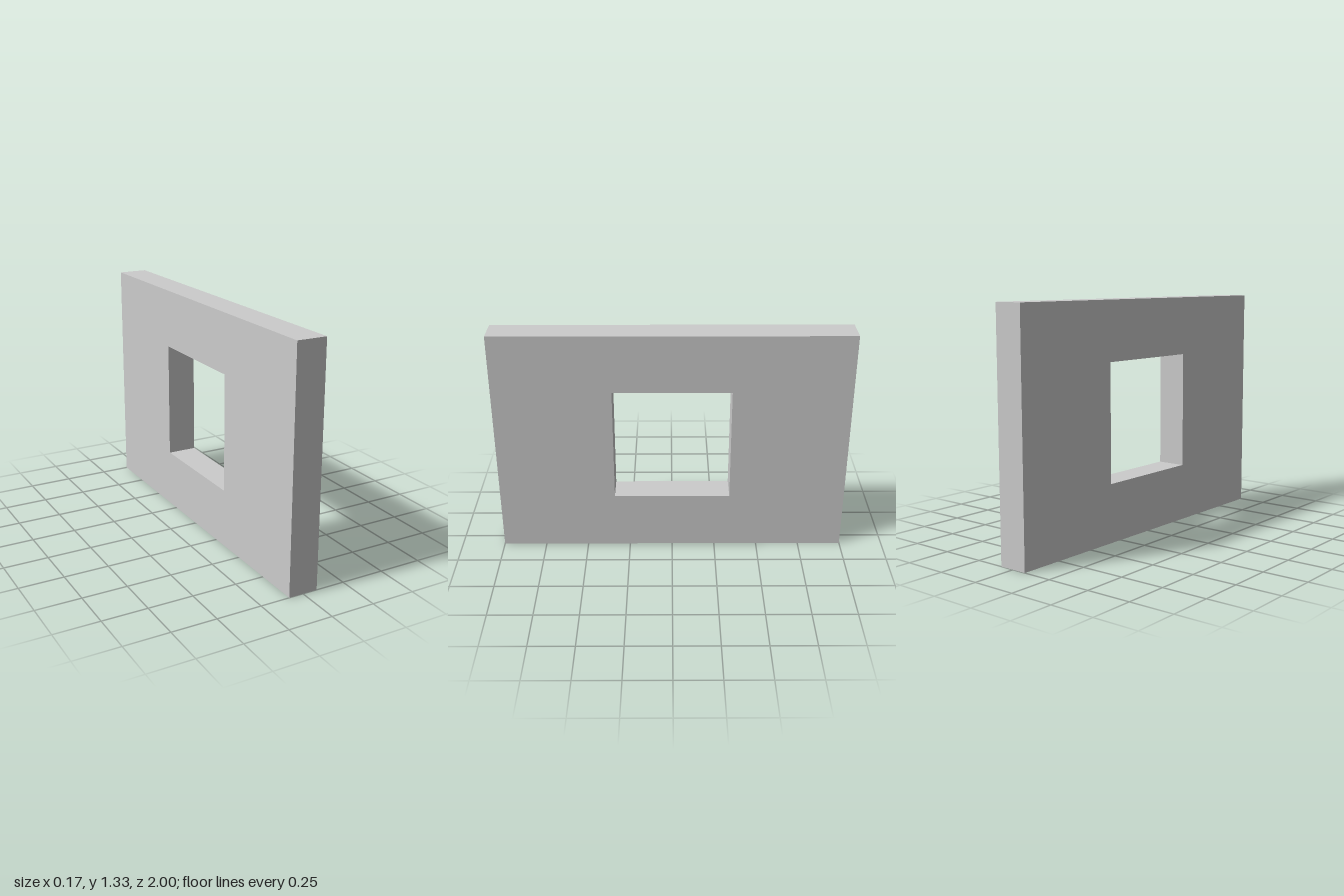
import * as THREE from 'three';

const W = 0.167, H = 1.333, L = 2;             // wall thickness, height, length
const Y = [0, 0.333, 1, H];                    // window opening is the middle cell
const Z = [-1, -0.333, 0.333, 1];              // of this 3 x 3 layout
const CELLS = 230;

// Small seeded generator
function seeded(seed) {
  return () => {
    seed = (seed * 1664525 + 1013904223) >>> 0;
    return seed / 4294967296;
  };
}

// Convex solid as a list of faces, each an outward-wound loop of points
function wallBlock() {
  const faces = [];
  const half = new THREE.Vector3(W / 2, H / 2, L / 2);
  for (let axis = 0; axis < 3; axis++) {
    for (const side of [-1, 1]) {
      const corners = [[-1, -1], [1, -1], [1, 1], [-1, 1]].map(([a, b]) => {
        const p = new THREE.Vector3();
        p.setComponent(axis, side);
        p.setComponent((axis + 1) % 3, a);
        p.setComponent((axis + 2) % 3, b);
        return p.multiply(half).add(new THREE.Vector3(0, H / 2, 0));
      });
      faces.push({ points: side > 0 ? corners : corners.reverse(), seam: false });
    }
  }
  return faces;
}

// Keep the part of a convex solid where normal . p <= d, and cap the cut
function clip(faces, normal, d, seam = false) {
  const kept = [], cut = [];
  for (const face of faces) {
    const loop = [];
    face.points.forEach((a, i) => {
      const b = face.points[(i + 1) % face.points.length];
      const da = normal.dot(a) - d, db = normal.dot(b) - d;
      if (da <= 0) loop.push(a);
      if ((da <= 0) !== (db <= 0)) {
        const p = a.clone().lerp(b, da / (da - db));
        const same = cut.find((q) => q.distanceToSquared(p) < 1e-12);
        if (!same) cut.push(p);
        loop.push(same || p);
      }
    });
    if (loop.length > 2) kept.push({ points: loop, seam: face.seam });
  }
  if (cut.length > 2) {
    const centre = new THREE.Vector3();
    cut.forEach((p) => centre.addScaledVector(p, 1 / cut.length));
    const u = cut[0].clone().sub(centre).normalize();
    const v = normal.clone().normalize().cross(u);
    const angle = (p) => {
      const r = p.clone().sub(centre);
      return Math.atan2(r.dot(v), r.dot(u));
    };
    kept.push({ points: cut.sort((p, q) => angle(p) - angle(q)), seam });
  }
  return kept;
}

// Cut the window opening out of one fragment; seams inside it stay open
function cutOpening(cell) {
  const result = [];
  const isOpening = (i, j) => i === 1 && j === 1;
  for (let i = 0; i < 3; i++) {
    for (let j = 0; j < 3; j++) {
      if (isOpening(i, j)) continue;
      let part = cell;
      for (const s of [-1, 1]) {
        if (i + s >= 0 && i + s < 3) {
          const y = Y[s > 0 ? i + 1 : i];
          part = clip(part, new THREE.Vector3(0, s, 0), s * y, !isOpening(i + s, j));
        }
        if (j + s >= 0 && j + s < 3) {
          const z = Z[s > 0 ? j + 1 : j];
          part = clip(part, new THREE.Vector3(0, 0, s), s * z, !isOpening(i, j + s));
        }
      }
      result.push(...part.filter((face) => !face.seam));
    }
  }
  return result;
}

function toGeometry(faces) {
  const points = [];
  for (const { points: p } of faces) {
    for (let i = 1; i < p.length - 1; i++) points.push(p[0], p[i], p[i + 1]);
  }
  const geometry = new THREE.BufferGeometry().setFromPoints(points);
  geometry.computeVertexNormals();
  return geometry;
}

export function createModel() {
  const group = new THREE.Group();
  group.name = 'crackedWindowWall';
  const material = new THREE.MeshStandardMaterial({ color: 0xcccccc, flatShading: true });

  // Scattered centres, one per fragment
  const random = seeded(7);
  const centres = Array.from({ length: CELLS }, () => new THREE.Vector3(
    (random() - 0.5) * W, random() * H, (random() - 0.5) * L));

  // Each fragment is the region nearest its own centre
  centres.forEach((c) => {
    let cell = wallBlock();
    for (const other of centres) {
      if (other === c) continue;
      const normal = other.clone().sub(c);
      const d = normal.dot(other.clone().add(c).multiplyScalar(0.5));
      cell = clip(cell, normal, d);
    }
    const faces = cutOpening(cell);
    if (!faces.length) return;
    const mesh = new THREE.Mesh(toGeometry(faces), material);
    mesh.name = 'wallFragment';
    group.add(mesh);
  });
  return group;
}
